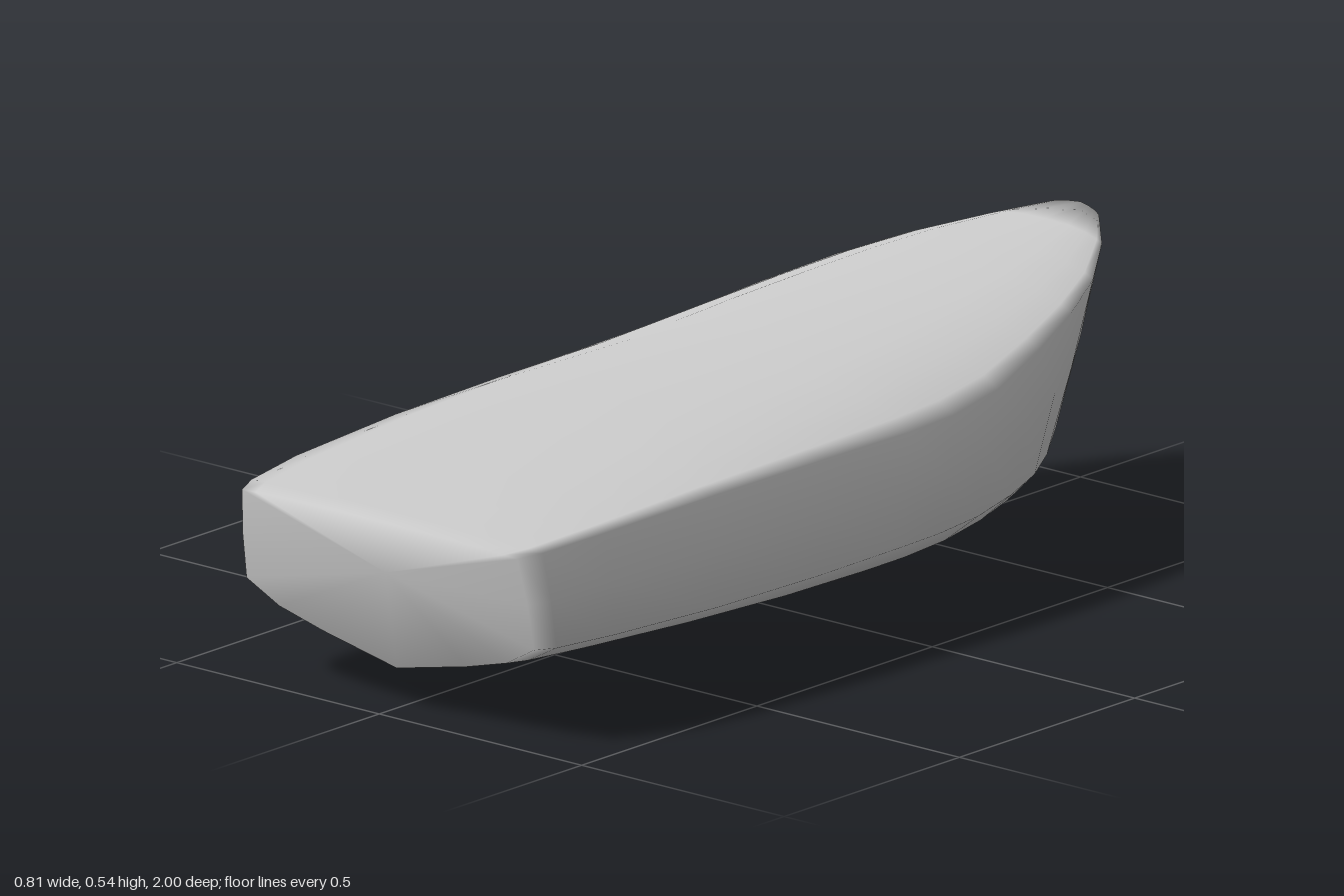
import * as THREE from 'three';

// Cross-sections from stern to bow:
// [top z, half beam, deck edge y, deck centre y, keel z, keel y, chine half width, chine y]
const stations = [
  [1.0, 0.34, 0.372, 0.378, 0.95, 0.08, 0.355, 0.19],
  [0.95, 0.36, 0.376, 0.383, 0.9, 0.077, 0.367, 0.185],
  [0.8, 0.38, 0.384, 0.397, 0.75, 0.066, 0.378, 0.178],
  [0.5, 0.395, 0.392, 0.421, 0.47, 0.043, 0.388, 0.168],
  [0.2, 0.402, 0.393, 0.44, 0.2, 0.019, 0.392, 0.165],
  [-0.05, 0.406, 0.392, 0.457, -0.03, 0.007, 0.39, 0.165],
  [-0.18, 0.403, 0.395, 0.467, -0.14, 0.004, 0.384, 0.164],
  [-0.33, 0.385, 0.408, 0.479, -0.27, 0.002, 0.362, 0.162],
  [-0.5, 0.34, 0.437, 0.493, -0.41, 0.002, 0.315, 0.16],
  [-0.65, 0.29, 0.464, 0.507, -0.53, 0.006, 0.262, 0.16],
  [-0.78, 0.23, 0.487, 0.519, -0.63, 0.014, 0.2, 0.162],
  [-0.9, 0.145, 0.511, 0.53, -0.75, 0.032, 0.12, 0.17],
  [-1.0, 0.065, 0.532, 0.54, -0.85, 0.09, 0.05, 0.2],
];

// Closed ring: keel, up the left side, over the cambered deck, down the right side
function section([zTop, w, edgeY, deckY, zKeel, keelY, chineW, chineY], stem) {
  const rise = chineY - keelY;
  const half = [
    [0, keelY],
    [0.5 * chineW, keelY + 0.36 * rise],
    [0.79 * chineW, keelY + 0.62 * rise],
    [chineW, chineY],
    [(w + chineW) / 2 + 0.004, (edgeY + chineY) / 2],
    [w, edgeY],
    ...[0.9, 0.7, 0.4, 0].map((t) => [w * t, edgeY + (deckY - edgeY) * (1 - t ** 3)]),
  ];
  const mirrored = half.slice(1, -1).reverse().map(([x, y]) => [-x, y]);
  return [...half, ...mirrored].map(([x, y]) => {
    // Stern and stem are raked; the stem is also rounded in plan
    const z = THREE.MathUtils.lerp(zKeel, zTop, (y - keelY) / (deckY - keelY));
    return new THREE.Vector3(x, y, z + (stem ? 0.3 * Math.abs(x) : 0));
  });
}

function loft(rings) {
  const n = rings[0].length;
  const last = rings.length - 1;
  const points = rings.flat();
  const index = [];
  for (let i = 0; i < last; i++) {
    for (let j = 0; j < n; j++) {
      const k = (j + 1) % n;
      const a = i * n + j, b = i * n + k, c = a + n, d = b + n;
      index.push(a, c, b, b, c, d);
    }
  }
  // Transom and stem caps
  for (const i of [0, last]) {
    const centre = new THREE.Vector3();
    rings[i].forEach((p) => centre.addScaledVector(p, 1 / n));
    const m = points.push(centre) - 1;
    for (let j = 0; j < n; j++) {
      const a = i * n + j, b = i * n + ((j + 1) % n);
      if (i === 0) index.push(m, a, b);
      else index.push(m, b, a);
    }
  }
  const geometry = new THREE.BufferGeometry().setFromPoints(points);
  geometry.setIndex(index);
  geometry.computeVertexNormals();
  return geometry;
}

export function createModel() {
  const group = new THREE.Group();
  group.name = 'boat';
  const rings = stations.map((s, i) => section(s, i === stations.length - 1));
  const hull = new THREE.Mesh(loft(rings), new THREE.MeshStandardMaterial({ color: 0xcccccc }));
  hull.name = 'hullAndDeck';
  group.add(hull);
  return group;
}
